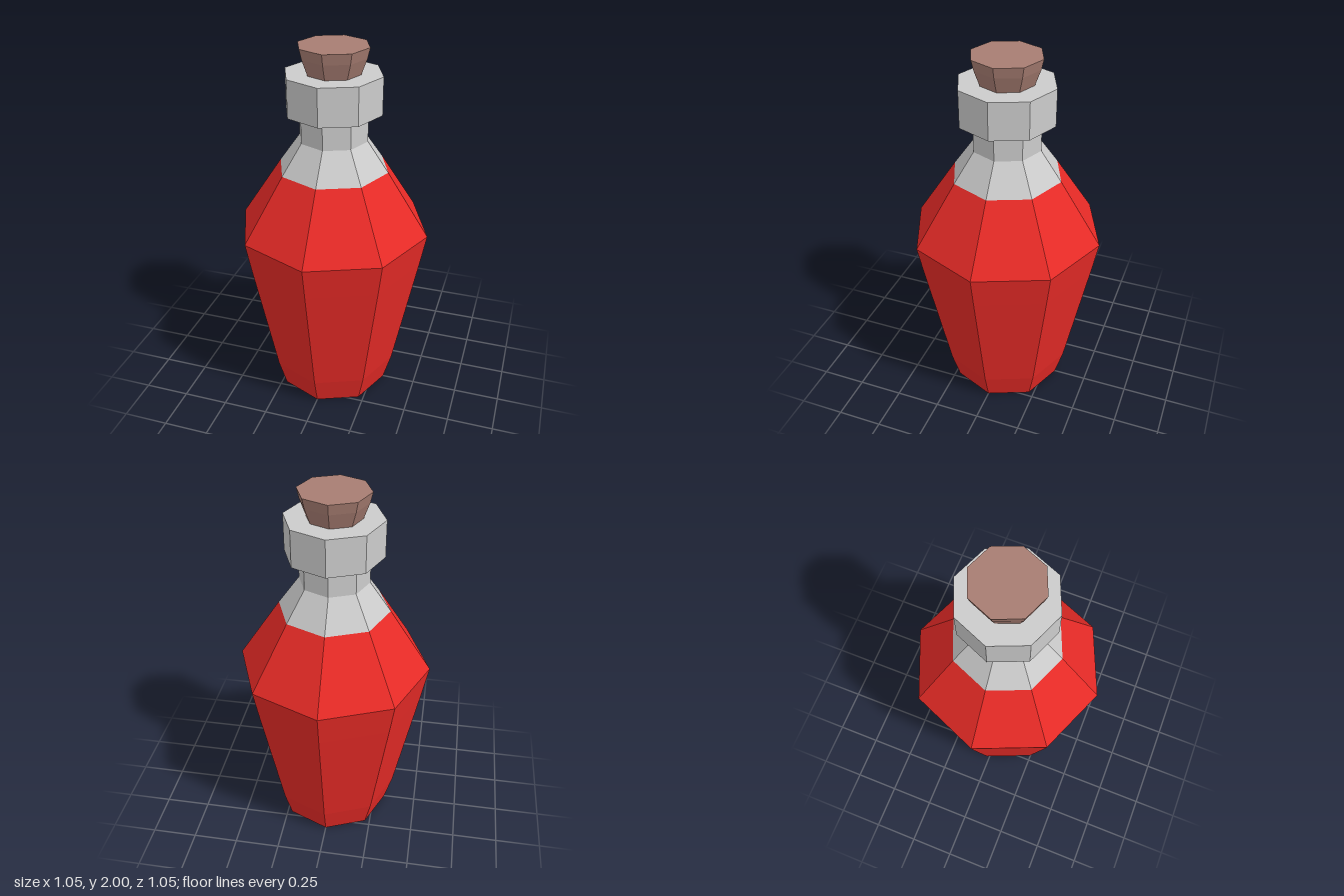
import * as THREE from 'three';

const SIDES = 8;

// Eight-sided turned part from [radius, height] pairs, listed bottom to top
function turned(name, color, profile) {
  const points = profile.map(([r, y]) => new THREE.Vector2(r, y));
  const material = new THREE.MeshStandardMaterial({ color, flatShading: true });
  const mesh = new THREE.Mesh(new THREE.LatheGeometry(points, SIDES), material);
  mesh.name = name;
  return mesh;
}

export function createModel() {
  const group = new THREE.Group();
  group.name = 'potionBottle';

  // Filled part of the bottle: base, tapering belly and lower shoulder
  group.add(turned('filledBody', 0xe92b27, [
    [0, 0], [0.315, 0], [0.36, 0.16], [0.49, 0.83], [0.523, 1.01], [0.297, 1.355],
  ]));

  // Clear glass: upper shoulder, neck and thick collar with a flat rim
  group.add(turned('glassNeck', 0xcccccc, [
    [0.297, 1.355], [0.185, 1.515], [0.185, 1.645],
    [0.257, 1.663], [0.257, 1.862], [0, 1.862],
  ]));

  // Cork, wider at the top and pushed a little into the collar
  group.add(turned('cork', 0xa77d72, [
    [0, 1.83], [0.132, 1.83], [0.143, 1.862], [0.173, 1.945], [0.186, 2], [0, 2],
  ]));

  return group;
}
